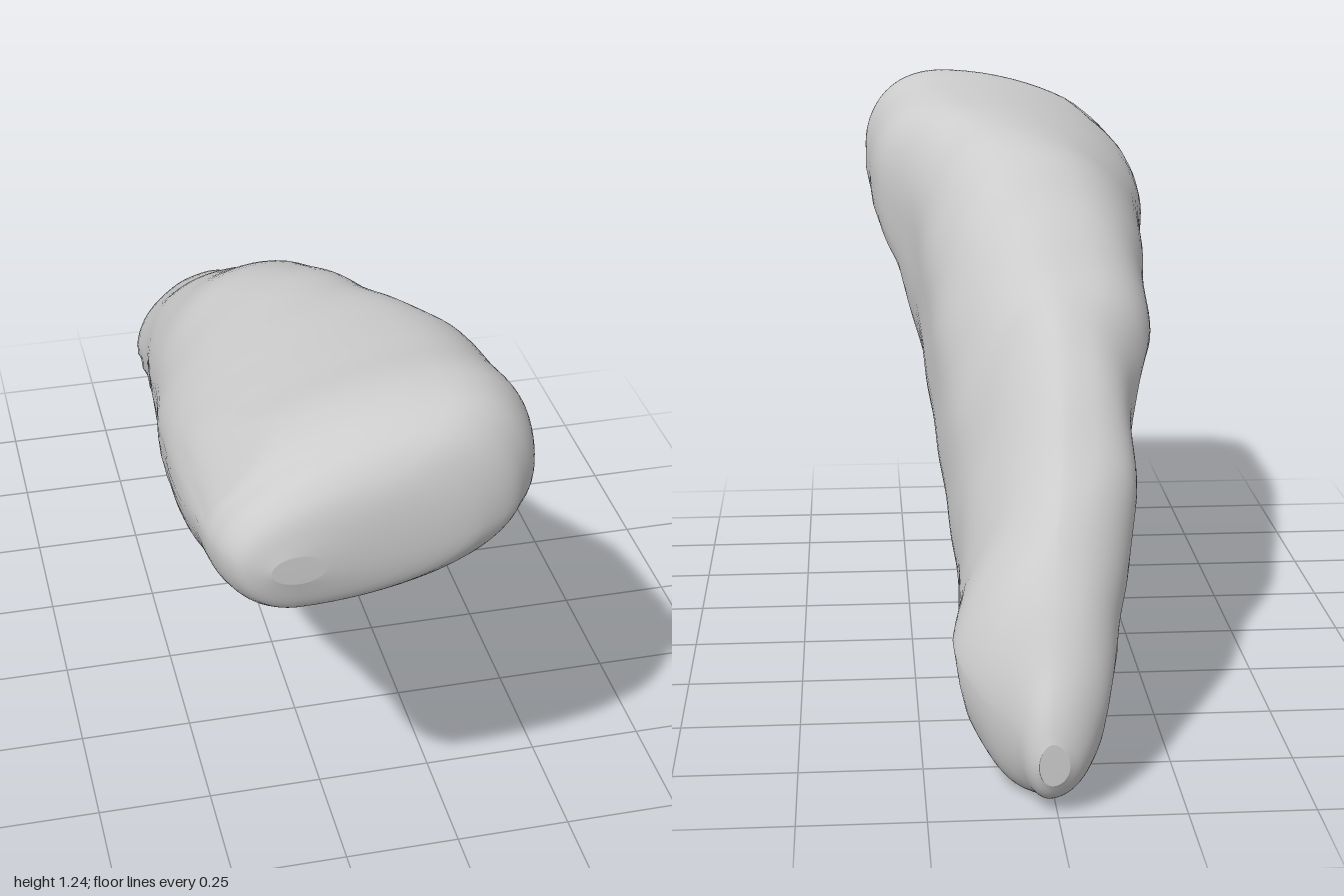
import * as THREE from 'three';

// Stations along z: [z, bottom y, top y, min x, max x, crest x]
const STATIONS = [
  [-1.0, 0.07, 0.15, -0.02, 0.035, 0.01],
  [-0.985, 0.045, 0.19, -0.045, 0.05, 0.01],
  [-0.93, 0.02, 0.28, -0.09, 0.08, 0.0],
  [-0.86, 0.0, 0.39, -0.12, 0.14, -0.01],
  [-0.77, 0.035, 0.485, -0.145, 0.185, -0.02],
  [-0.6, 0.08, 0.64, -0.195, 0.17, -0.05],
  [-0.4, 0.13, 0.82, -0.21, 0.165, -0.06],
  [-0.25, 0.18, 0.895, -0.265, 0.175, -0.06],
  [0.0, 0.27, 1.06, -0.28, 0.2, -0.04],
  [0.15, 0.3, 1.135, -0.295, 0.215, -0.02],
  [0.3, 0.39, 1.17, -0.31, 0.235, 0.03],
  [0.4, 0.48, 1.19, -0.325, 0.27, 0.08],
  [0.5, 0.57, 1.205, -0.33, 0.315, 0.11],
  [0.65, 0.71, 1.225, -0.335, 0.33, 0.13],
  [0.8, 0.805, 1.242, -0.327, 0.333, 0.14],
  [0.9, 0.845, 1.215, -0.315, 0.29, 0.12],
  [0.96, 0.875, 1.155, -0.292, 0.21, 0.04],
  [0.985, 0.905, 1.095, -0.265, 0.1, -0.06],
  [1.0, 0.96, 1.02, -0.22, -0.12, -0.17],
];

// Section character along z: [z, keel x, widest height on the -x side, on the +x side,
// then curve powers: upper -x, upper +x, lower -x, lower +x]
const SECTIONS = [
  [-1.0, 0.01, 0.5, 0.5, 2, 2, 2, 2],
  [-0.85, 0.03, 0.65, 0.5, 2, 1.7, 1.9, 2.1],
  [-0.75, 0.035, 0.7, 0.48, 2, 1.35, 1.85, 2.2],
  [-0.6, 0.04, 0.75, 0.32, 2.1, 1.5, 1.75, 2.2],
  [-0.4, 0.05, 0.75, 0.32, 2.1, 1.65, 1.75, 2.3],
  [-0.2, 0.05, 0.75, 0.4, 2.1, 2, 1.75, 2.3],
  [0.0, 0.04, 0.73, 0.5, 2, 2.3, 1.75, 2.4],
  [0.3, 0.02, 0.68, 0.65, 1.9, 2.4, 1.85, 2.3],
  [0.5, -0.04, 0.62, 0.68, 1.85, 2.3, 1.95, 2.1],
  [0.7, -0.1, 0.5, 0.56, 1.8, 2.3, 2.1, 2.05],
  [0.9, -0.14, 0.42, 0.52, 1.8, 2.2, 2.1, 1.9],
  [1.0, -0.17, 0.48, 0.5, 2, 2, 2, 2],
];

// Limits of the whole silhouette by height: [y, min x, max x]
const LIMITS = [
  [0.0, -0.01, 0.07], [0.04, -0.05, 0.12], [0.1, -0.085, 0.155], [0.2, -0.11, 0.178],
  [0.3, -0.14, 0.193], [0.4, -0.17, 0.21], [0.5, -0.195, 0.22], [0.6, -0.205, 0.228],
  [0.7, -0.235, 0.235], [0.8, -0.3, 0.26], [0.87, -0.326, 0.295], [0.95, -0.335, 0.33],
  [1.0, -0.328, 0.335], [1.06, -0.3, 0.335], [1.1, -0.262, 0.333], [1.16, -0.19, 0.315],
  [1.2, -0.11, 0.275], [1.25, 0.08, 0.2],
];

function interpolator(table, Type) {
  const size = table[0].length - 1;
  return new Type(table.map(r => r[0]), table.flatMap(r => r.slice(1)), size, new Float32Array(size));
}

const spow = (v, p) => Math.sign(v) * Math.pow(Math.abs(v), p);

// Tapering body lofted through lopsided rounded cross-sections
function bodyGeometry(rings = 120, sides = 72) {
  const station = interpolator(STATIONS, THREE.CubicInterpolant);
  const section = interpolator(SECTIONS, THREE.LinearInterpolant);
  const limit = interpolator(LIMITS, THREE.LinearInterpolant);
  const pos = [], index = [];
  for (let i = 0; i <= rings; i++) {
    const z = -Math.cos((Math.PI * i) / rings); // denser towards both ends
    const [yb, yt, xl, xr, crest] = station.evaluate(z);
    const [keel, fl, fr, eUL, eUR, eLL, eLR] = section.evaluate(z);
    const rough = 0.003 * THREE.MathUtils.smoothstep(0.6 - z, 0, 0.6);
    for (let j = 0; j < sides; j++) {
      const a = (j / sides) * Math.PI * 2;
      const c = Math.cos(a), s = Math.sin(a);
      const e = 2 / (s > 0 ? (c > 0 ? eUR : eUL) : (c > 0 ? eLR : eLL));
      const cx = s > 0 ? crest : keel;
      // widest height blends from one side to the other
      const f = THREE.MathUtils.lerp(fl, fr, THREE.MathUtils.smoothstep(c, -0.5, 0.5));
      const ym = yb + f * (yt - yb);
      let x = cx + spow(c, e) * (c > 0 ? xr - cx : cx - xl);
      let y = ym + spow(s, e) * (s > 0 ? yt - ym : ym - yb);
      // gentle surface unevenness, fading out at the smooth front
      y += rough * Math.sin(z * 31 + x * 13) * s;
      x += rough * Math.sin(z * 17) * Math.sin(y * 23) * c;
      y = Math.max(0, y);
      const [lo, hi] = limit.evaluate(y);
      pos.push(THREE.MathUtils.clamp(x, lo, hi), y, z);
    }
  }
  for (let i = 0; i < rings; i++) {
    for (let j = 0; j < sides; j++) {
      const a = i * sides + j, b = i * sides + ((j + 1) % sides);
      index.push(a, b, a + sides, b, b + sides, a + sides);
    }
  }
  // Close both ends with a fan
  for (const ring of [0, rings]) {
    const [yb, yt, xl, xr] = station.evaluate(ring ? 1 : -1);
    const centre = pos.length / 3;
    pos.push((xl + xr) / 2, (yb + yt) / 2, ring ? 1 : -1);
    for (let j = 0; j < sides; j++) {
      const a = ring * sides + j, b = ring * sides + ((j + 1) % sides);
      index.push(centre, ring ? a : b, ring ? b : a);
    }
  }
  const g = new THREE.BufferGeometry();
  g.setAttribute('position', new THREE.Float32BufferAttribute(pos, 3));
  g.setIndex(index);
  g.computeVertexNormals();
  return g;
}

export function createModel() {
  const group = new THREE.Group();
  group.name = 'taperedForm';
  const body = new THREE.Mesh(bodyGeometry(), new THREE.MeshStandardMaterial({ color: 0xcccccc }));
  body.name = 'body';
  group.add(body);
  return group;
}
